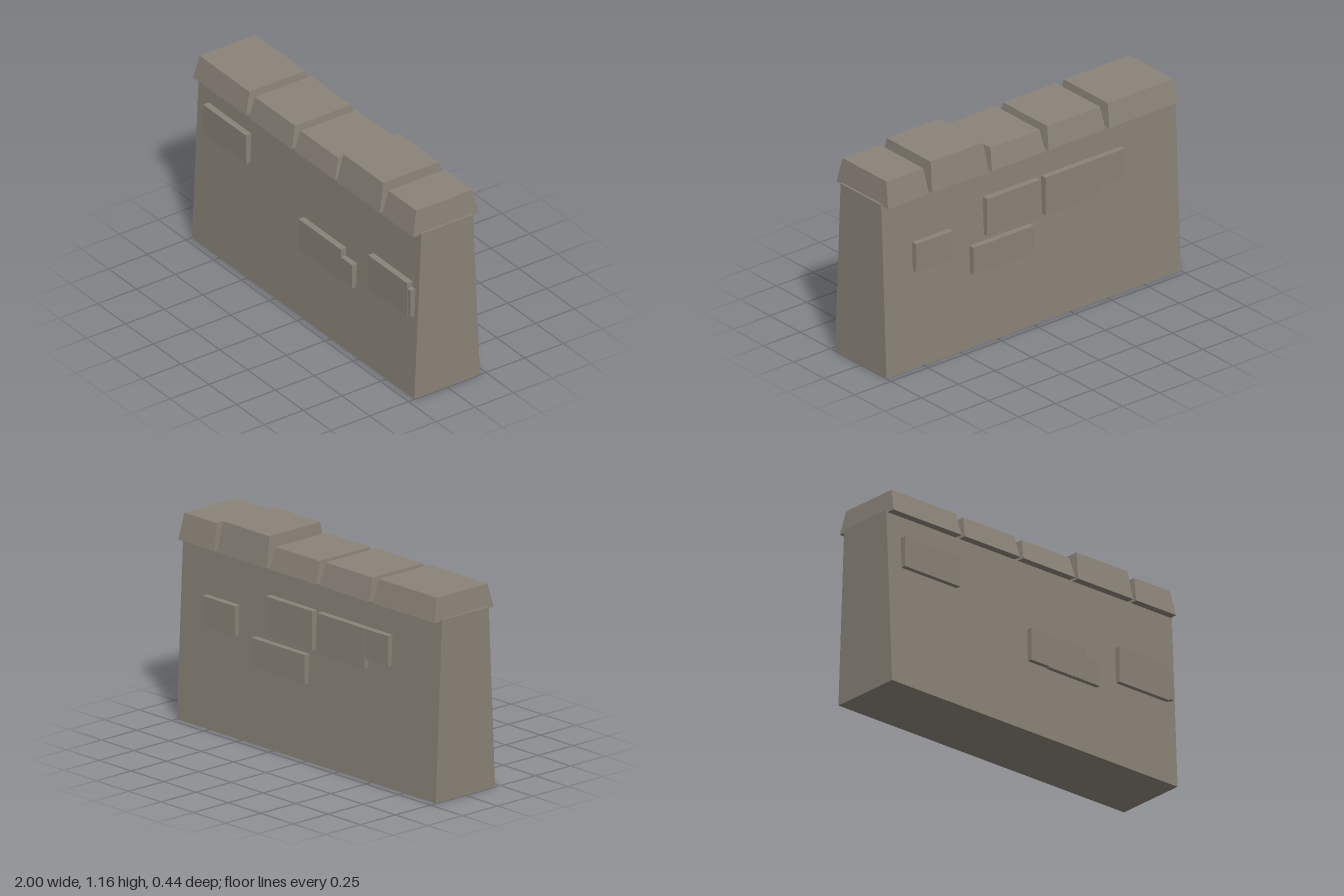
import * as THREE from 'three';

const stone = new THREE.MeshStandardMaterial({ color: 0x8a8378 });
stone.name = 'stone';

// Box spanning x0..x1, y0..y1, z0..z1 whose top is drawn in by insetX and insetZ per side
function taperedBox(name, [x0, x1], [y0, y1], [z0, z1], insetX = 0, insetZ = 0) {
  const w = x1 - x0, h = y1 - y0, d = z1 - z0;
  const geometry = new THREE.BoxGeometry(w, h, d);
  const p = geometry.attributes.position;
  for (let i = 0; i < p.count; i++) {
    if (p.getY(i) < 0) continue;
    p.setX(i, p.getX(i) * (1 - 2 * insetX / w));
    p.setZ(i, p.getZ(i) * (1 - 2 * insetZ / d));
  }
  geometry.computeVertexNormals(); // box corners are unshared, so faces stay flat
  const mesh = new THREE.Mesh(geometry, stone);
  mesh.name = name;
  mesh.position.set((x0 + x1) / 2, (y0 + y1) / 2, (z0 + z1) / 2);
  return mesh;
}

export function createModel() {
  const model = new THREE.Group();
  model.name = 'stoneWall';

  // Battered wall body
  model.add(taperedBox('wallBody', [-1, 1], [0, 1], [-0.212, 0.212], 0, 0.045));

  // Coping stones: left edge, right edge, top height
  const copings = [
    [-0.99, -0.513, 1.12],
    [-0.49, -0.102, 1.115],
    [-0.08, 0.284, 1.11],
    [0.304, 0.69, 1.157],
    [0.71, 0.99, 1.135],
  ];
  copings.forEach(([x0, x1, top], i) =>
    model.add(taperedBox(`copingStone${i + 1}`, [x0, x1], [0.99, top], [-0.212, 0.212], 0.015, 0.031)));

  // Raised bricks: x0, x1, y0, y1, outer face z
  const frontBricks = [
    [-0.905, -0.52, 0.69, 0.865, 0.209],
    [-0.03, 0.35, 0.415, 0.6, 0.22],
    [0.1, 0.45, 0.41, 0.553, 0.219],
    [0.59, 0.943, 0.48, 0.685, 0.217],
    [0.65, 0.97, 0.49, 0.653, 0.215],
  ];
  const backBricks = [
    [0.55, 0.8, 0.56, 0.725, -0.213],
    [-0.043, 0.315, 0.62, 0.835, -0.211],
    [0.005, 0.415, 0.425, 0.585, -0.22],
    [-0.45, -0.08, 0.615, 0.835, -0.211],
    [-0.625, -0.4, 0.667, 0.834, -0.208],
  ];
  frontBricks.forEach(([x0, x1, y0, y1, z], i) =>
    model.add(taperedBox(`frontBrick${i + 1}`, [x0, x1], [y0, y1], [0.1, z])));
  backBricks.forEach(([x0, x1, y0, y1, z], i) =>
    model.add(taperedBox(`backBrick${i + 1}`, [x0, x1], [y0, y1], [z, -0.1])));

  return model;
}
